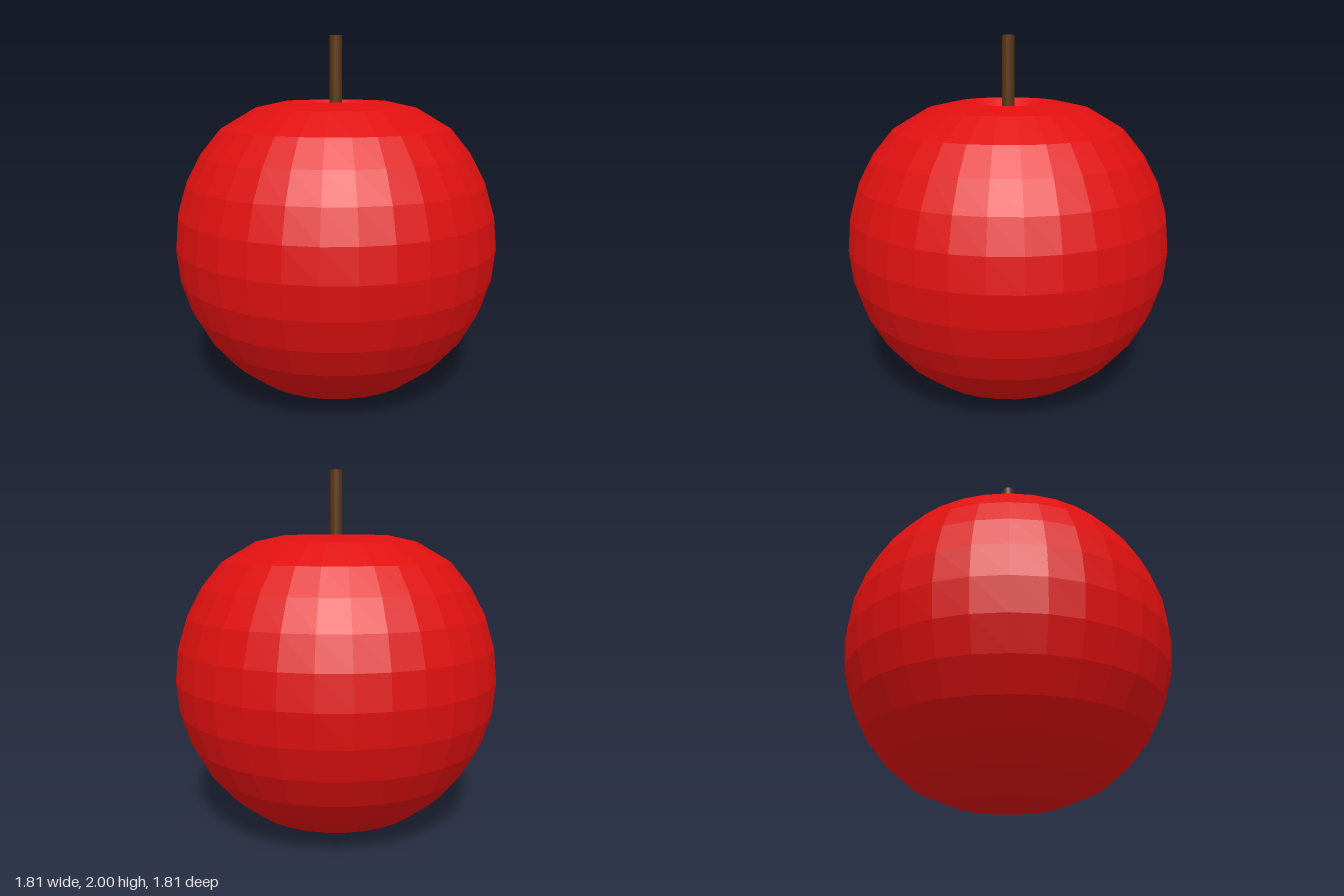
import * as THREE from 'three';

export function createModel() {
  const model = new THREE.Group();
  const red = 0xe01010;

  const add = (name, geometry, options) => {
    const mesh = new THREE.Mesh(geometry, new THREE.MeshStandardMaterial(options));
    mesh.name = name;
    model.add(mesh);
    return mesh;
  };

  // Faceted body: a sphere profile flattened at the base and drawn in at the top
  const R = 0.907, centreY = 0.855;
  const profile = [[0, 0], [0.177, 0.004], [0.29, 0.015]];
  for (let k = 13; k >= 4; k--) {
    const a = (k * Math.PI) / 16;
    profile.push([R * Math.sin(a), centreY + R * Math.cos(a)]);
  }
  profile.push([0.45, 1.609], [0.285, 1.645]);
  add('fruitBody',
    new THREE.LatheGeometry(profile.map(([r, y]) => new THREE.Vector2(r, y)), 32),
    { color: red, flatShading: true });

  // Smooth conical hollow around the stem
  const hollow = [new THREE.Vector2(0.285, 1.645), new THREE.Vector2(0.001, 1.43)];
  add('stemHollow', new THREE.LatheGeometry(hollow, 32), { color: red, side: THREE.DoubleSide });

  // Stem rising from the bottom of the hollow
  const stemBase = 1.42;
  const stem = add('stem', new THREE.CylinderGeometry(0.034, 0.034, 2 - stemBase, 16), { color: 0x5a3510 });
  stem.position.y = (2 + stemBase) / 2;

  return model;
}
